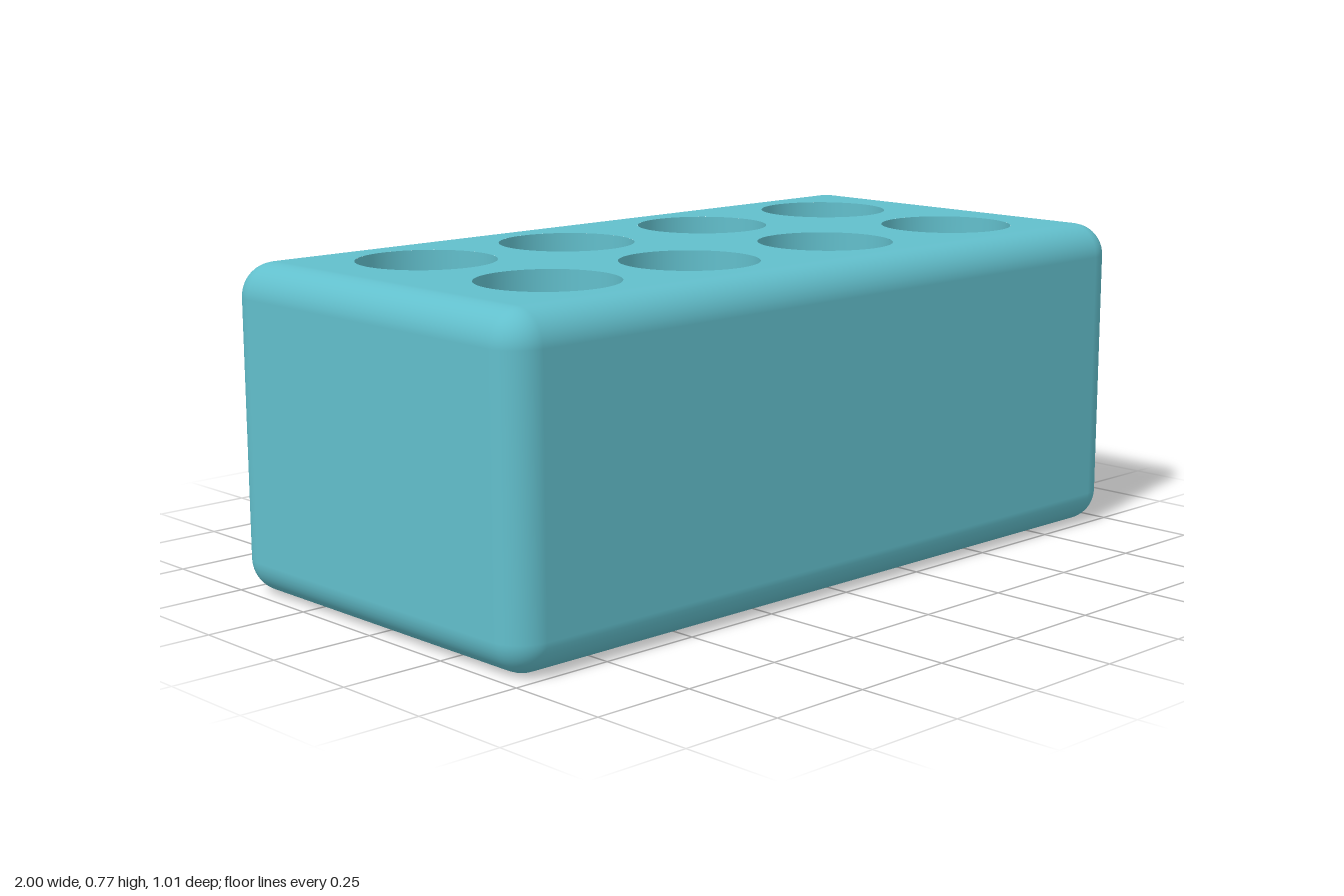
import * as THREE from 'three';
import { RoundedBoxGeometry } from 'three/addons/geometries/RoundedBoxGeometry.js';

const W = 2, H = 0.775, D = 1.01, R = 0.08;
const HOLE_R = 0.163, HOLE_DEPTH = 0.55, SIDES = 64;
const HOLE_X = [-0.66, -0.235, 0.22, 0.67];
const HOLE_Z = [-0.207, 0.218];

// Rounded block with its flat top panel left out
function openBlock() {
  const box = new RoundedBoxGeometry(W, H, D, 6, R);
  const geo = box.index ? box.toNonIndexed() : box;
  const pos = geo.attributes.position, nor = geo.attributes.normal;
  const p = [], n = [];
  for (let i = 0; i < pos.count; i += 3) {
    const corners = [i, i + 1, i + 2];
    if (corners.every((k) => pos.getY(k) > H / 2 - 1e-5)) continue;
    for (const k of corners) {
      p.push(pos.getX(k), pos.getY(k) + H / 2, pos.getZ(k));
      n.push(nor.getX(k), nor.getY(k), nor.getZ(k));
    }
  }
  const out = new THREE.BufferGeometry();
  out.setAttribute('position', new THREE.Float32BufferAttribute(p, 3));
  out.setAttribute('normal', new THREE.Float32BufferAttribute(n, 3));
  return out;
}

// Flat top panel pierced by the holes
function topPanel() {
  const x = W / 2 - R, z = D / 2 - R;
  const shape = new THREE.Shape([[-x, -z], [x, -z], [x, z], [-x, z]].map(([a, b]) => new THREE.Vector2(a, b)));
  for (const hx of HOLE_X) for (const hz of HOLE_Z) {
    shape.holes.push(new THREE.Path().absarc(hx, -hz, HOLE_R, 0, Math.PI * 2, true));
  }
  return new THREE.ShapeGeometry(shape, SIDES).rotateX(-Math.PI / 2).translate(0, H, 0);
}

export function createModel() {
  const group = new THREE.Group();
  group.name = 'holderBlock';
  const material = new THREE.MeshStandardMaterial({ color: 0x62bfcc });
  const add = (name, geometry, parent = group) => {
    const mesh = new THREE.Mesh(geometry, material);
    mesh.name = name;
    parent.add(mesh);
    return mesh;
  };

  add('body', openBlock());
  add('topPanel', topPanel());

  // Blind round holes: inward-facing wall and flat floor
  const floorY = H - HOLE_DEPTH;
  const wall = new THREE.LatheGeometry([new THREE.Vector2(HOLE_R, H), new THREE.Vector2(HOLE_R, floorY)], SIDES);
  const floor = new THREE.CircleGeometry(HOLE_R, SIDES).rotateX(-Math.PI / 2).translate(0, floorY, 0);
  for (const x of HOLE_X) for (const z of HOLE_Z) {
    const hole = new THREE.Group();
    hole.name = 'hole';
    hole.position.set(x, 0, z);
    add('holeWall', wall, hole);
    add('holeFloor', floor, hole);
    group.add(hole);
  }
  return group;
}
